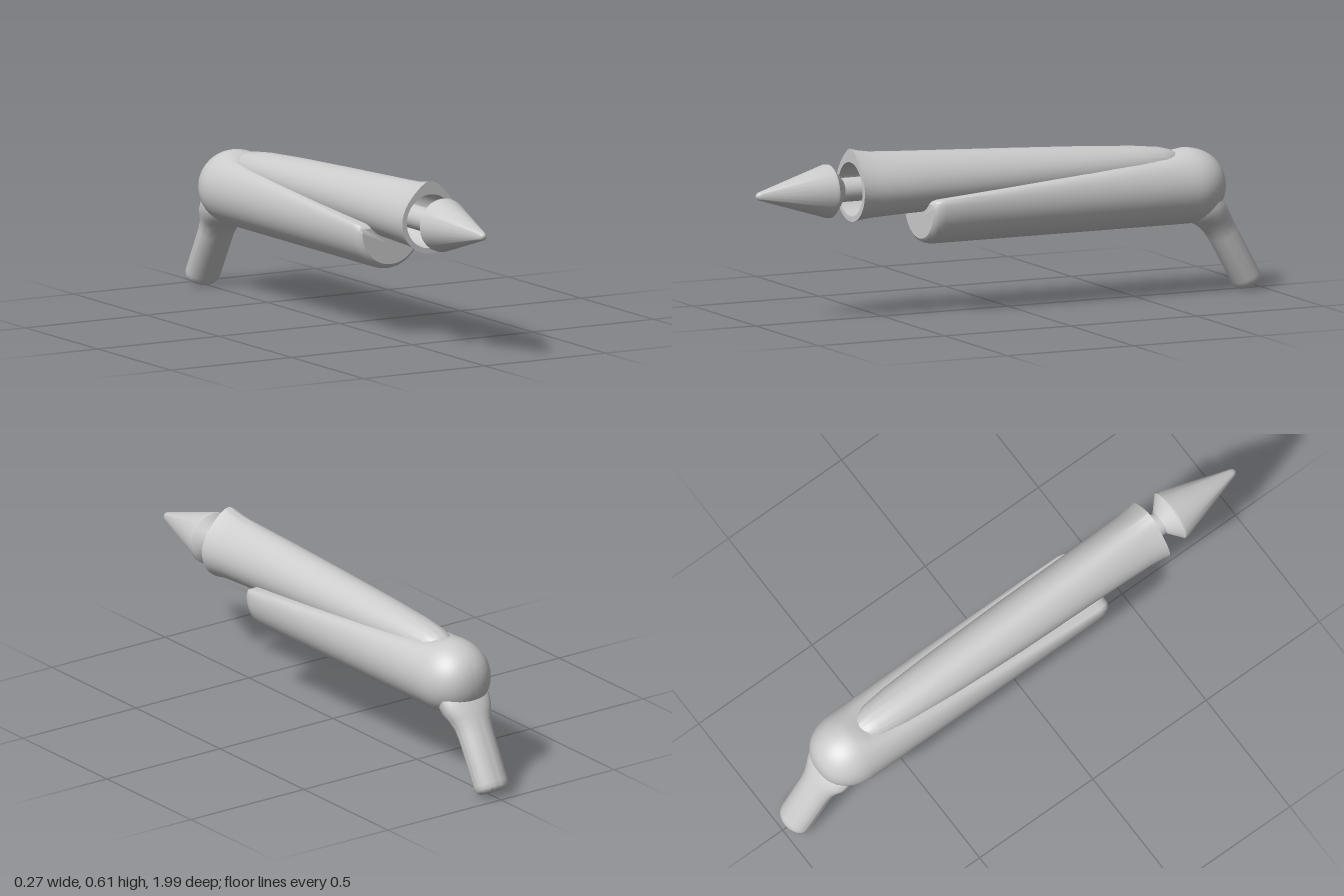
import * as THREE from 'three';
import { toCreasedNormals } from 'three/addons/utils/BufferGeometryUtils.js';

const N = 48;
const material = new THREE.MeshStandardMaterial({ color: 0xcccccc });

// Skin a list of rings; each ring is { z, at(angle) -> [x, y] }
function loft(rings, crease = 0.6) {
  const positions = [];
  const index = [];
  rings.forEach((ring, i) => {
    for (let j = 0; j < N; j++) {
      const [x, y] = ring.at((j / N) * Math.PI * 2);
      positions.push(x, y, ring.z);
      if (i === rings.length - 1) continue;
      const a = i * N + j;
      const b = i * N + ((j + 1) % N);
      index.push(a, a + N, b, b, a + N, b + N);
    }
  });
  const geometry = new THREE.BufferGeometry();
  geometry.setAttribute('position', new THREE.Float32BufferAttribute(positions, 3));
  geometry.setIndex(index);
  return toCreasedNormals(geometry, crease);
}

const circle = (z, r, cy) => ({ z, at: (a) => [r * Math.cos(a), cy + r * Math.sin(a)] });

function softMin(a, b, k) {
  const h = Math.max(k - Math.abs(a - b), 0) / k;
  return Math.min(a, b) - (h * h * k) / 4;
}

function makeMesh(name, geometry) {
  const mesh = new THREE.Mesh(geometry, material);
  mesh.name = name;
  return mesh;
}

// Hollow barrel: round bore, teardrop muzzle, tapering to a rounded tail
function barrelGeometry() {
  const teardrop = (z, w, top, bottom, cy, k) => ({
    z,
    at: (a) => {
      const s = Math.sin(a);
      const up = s > 0;
      return [w * Math.cos(a) * (up ? 1 - k * s * s : 1), cy + s * (up ? top - cy : cy - bottom)];
    },
  });
  const sections = [
    [0.625, 0.116, 0.622, 0.36, 0.475, 0.42],
    [0.6, 0.111, 0.615, 0.365, 0.475, 0.38],
    [0.55, 0.106, 0.607, 0.37, 0.475, 0.3],
    [0.45, 0.103, 0.601, 0.374, 0.476, 0.2],
    [0.3, 0.1, 0.594, 0.378, 0.478, 0.12],
    [0, 0.096, 0.58, 0.387, 0.48, 0.08],
    [-0.3, 0.088, 0.565, 0.4, 0.482, 0.05],
    [-0.5, 0.078, 0.552, 0.42, 0.485, 0],
    [-0.6, 0.067, 0.541, 0.44, 0.487, 0],
    [-0.64, 0.054, 0.531, 0.45, 0.488, 0],
    [-0.66, 0.038, 0.52, 0.46, 0.489, 0],
    [-0.672, 0, 0.49, 0.49, 0.49, 0],
  ];
  return loft([
    circle(0.25, 0, 0.476),
    circle(0.25, 0.097, 0.476),
    circle(0.625, 0.097, 0.476),
    ...sections.map((s) => teardrop(...s)),
  ]);
}

// Cradle: round underside, sloping cut-away top and domed rear
function cradleGeometry() {
  const cy = 0.396;
  const section = (z, r, top) => ({
    z,
    at: (a) => [r * Math.cos(a), softMin(cy + r * Math.sin(a), top, 0.025)],
  });
  const rings = [
    circle(0.352, 0, 0.35),
    section(0.352, 0.116, 0.415),
    section(0.345, 0.126, 0.424),
    section(0.33, 0.133, 0.43),
    section(0.31, 0.136, 0.432),
  ];
  for (let i = 1; i <= 10; i++) {
    const t = i / 10;
    rings.push(section(0.31 - 0.93 * t, 0.136, 0.432 + 0.078 * t));
  }
  rings.push(section(-0.66, 0.136, 0.525), section(-0.7, 0.136, 0.6));
  for (let i = 1; i <= 12; i++) {
    const a = (i / 12) * Math.PI / 2;
    const r = i === 12 ? 0 : 0.136 * Math.pow(Math.cos(a), 0.85);
    rings.push(section(-0.7 - 0.146 * Math.sin(a), r, 0.6));
  }
  return loft(rings);
}

// Handle: oval stem with a flared root, built along -z and tilted down
function handleGeometry() {
  const sections = [ // distance, half width, rear depth, front depth
    [0, 0.1, 0.03, 0.1],
    [0.05, 0.1, 0.045, 0.098],
    [0.08, 0.097, 0.05, 0.085],
    [0.11, 0.084, 0.052, 0.067],
    [0.14, 0.073, 0.052, 0.057],
    [0.18, 0.068, 0.052, 0.053],
    [0.36, 0.067, 0.052, 0.052],
    [0.376, 0.064, 0.05, 0.05],
    [0.386, 0.057, 0.045, 0.045],
    [0.39, 0.048, 0.038, 0.038],
    [0.39, 0, 0, 0],
  ];
  return loft(sections.map(([d, w, rear, front]) => ({
    z: -d,
    at: (a) => [w * Math.cos(a), Math.sin(a) * (a < Math.PI ? rear : front)],
  })), 0.8);
}

// Pointed tip on a shaft that runs into the bore
function tipGeometry() {
  const profile = [
    [0, 0.25], [0.043, 0.25], [0.043, 0.665], [0.096, 0.712], [0.096, 0.722],
    [0.017, 0.98], [0.014, 0.99], [0.008, 0.997], [0, 1],
  ].map(([r, z]) => new THREE.Vector2(r, z));
  const geometry = new THREE.LatheGeometry(profile, 24);
  geometry.rotateX(Math.PI / 2);
  return toCreasedNormals(geometry, 0.55);
}

export function createModel() {
  const model = new THREE.Group();
  model.name = 'model';

  const handle = makeMesh('handle', handleGeometry());
  handle.position.set(0, 0.371, -0.765);
  handle.rotation.x = -1.063;

  const tip = makeMesh('pointedTip', tipGeometry());
  tip.position.y = 0.476;

  model.add(
    makeMesh('barrel', barrelGeometry()),
    makeMesh('cradle', cradleGeometry()),
    handle,
    tip,
  );
  return model;
}
